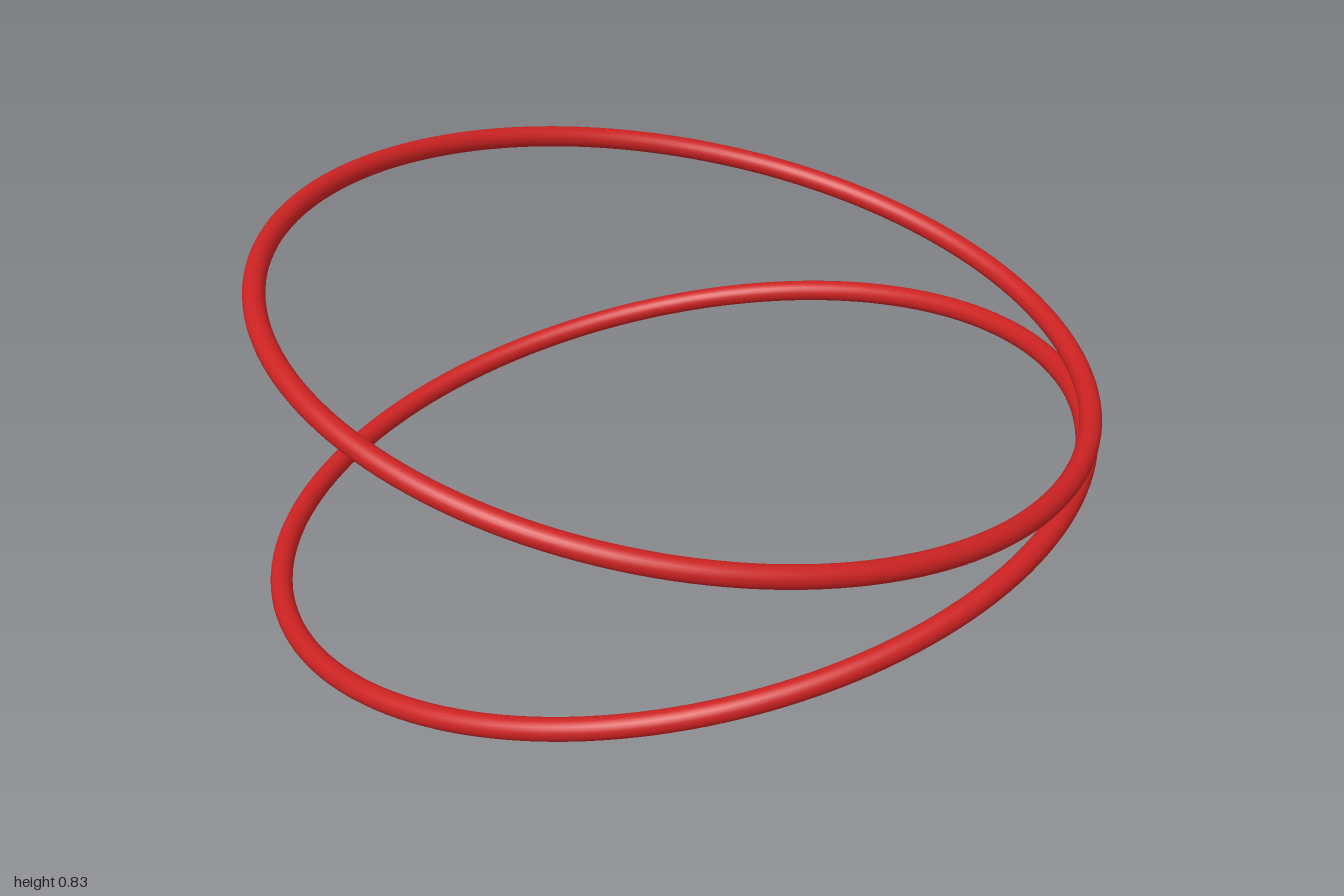
import * as THREE from 'three';

const RING_RADIUS = 0.974;
const TUBE_RADIUS = 0.026;

export function createModel() {
  const model = new THREE.Group();
  model.name = 'tiltedRings';

  const material = new THREE.MeshStandardMaterial({ color: 0xcc2222 });
  const ringGeometry = new THREE.TorusGeometry(RING_RADIUS, TUBE_RADIUS, 24, 160);
  ringGeometry.rotateX(Math.PI / 2); // lay the ring flat

  // Two identical hoops, nearly touching on +x and spreading apart towards -x
  const addRing = (name, height, tiltDegrees) => {
    const ring = new THREE.Mesh(ringGeometry, material);
    ring.name = name;
    ring.position.y = height;
    ring.rotation.z = THREE.MathUtils.degToRad(tiltDegrees);
    model.add(ring);
  };
  addRing('lowerRing', 0.221, 11.5);
  addRing('upperRing', 0.639, -10);

  return model;
}
